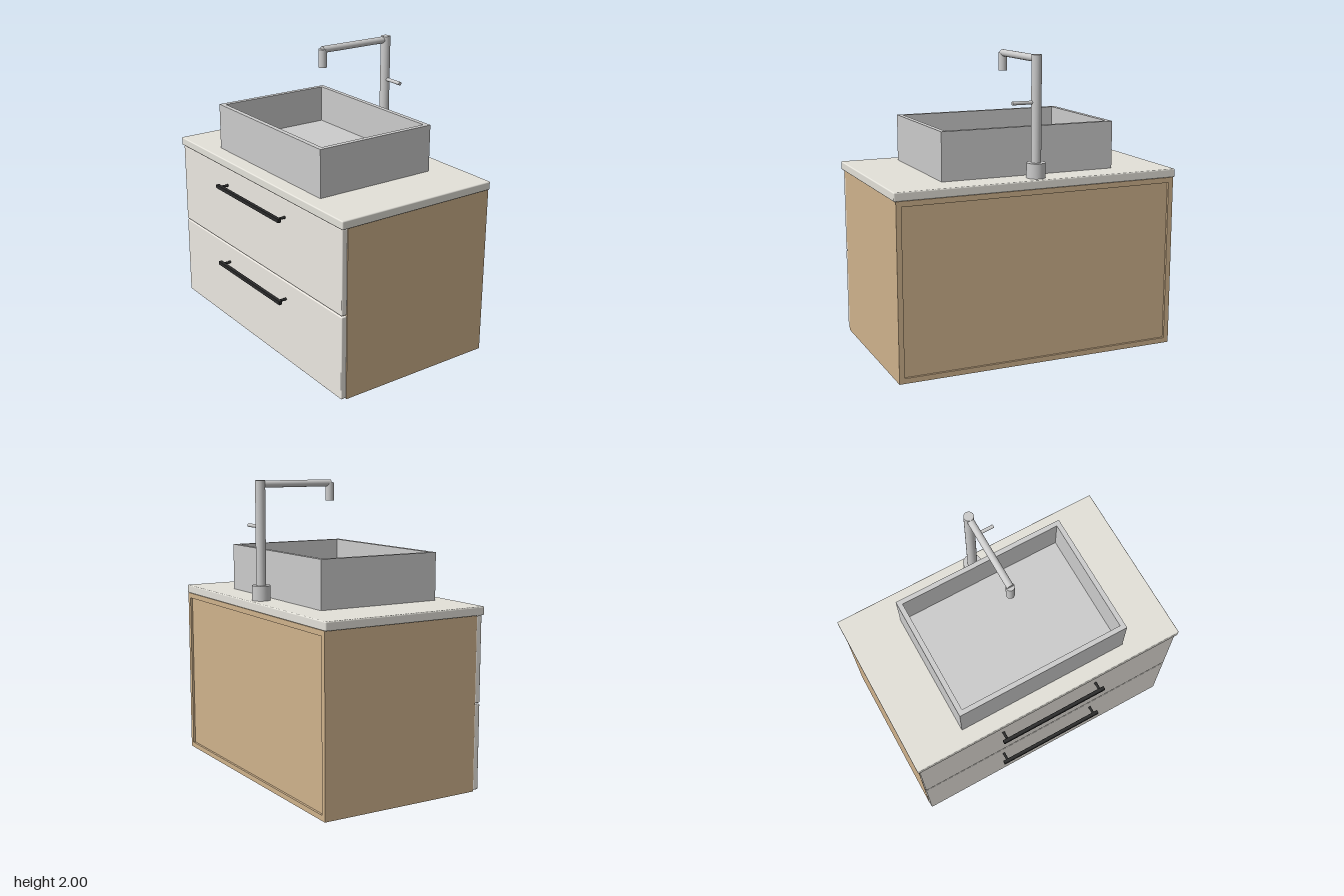
import * as THREE from 'three';
import { RoundedBoxGeometry } from 'three/addons/geometries/RoundedBoxGeometry.js';

const mat = (color) => new THREE.MeshStandardMaterial({ color });

export function createModel() {
  const model = new THREE.Group();
  const wood = mat(0xcfb28c), drawerPaint = mat(0xebe7e0), stone = mat(0xe3e1d9);
  const black = mat(0x2c2c2c), grey = mat(0xcccccc);

  const add = (name, geometry, material, x, y, z, parent = model) => {
    const mesh = new THREE.Mesh(geometry, material);
    mesh.name = name;
    mesh.position.set(x, y, z);
    parent.add(mesh);
    return mesh;
  };
  // Box given by its minimum and maximum corners, with optional rounded edges
  const box = (name, material, [x0, y0, z0], [x1, y1, z1], radius = 0, parent = model) => {
    const size = [x1 - x0, y1 - y0, z1 - z0];
    const geometry = radius ? new RoundedBoxGeometry(...size, 3, radius) : new THREE.BoxGeometry(...size);
    return add(name, geometry, material, (x0 + x1) / 2, (y0 + y1) / 2, (z0 + z1) / 2, parent);
  };
  // Cylinder between two points
  const rod = (name, material, from, to, radius, parent = model) => {
    const a = new THREE.Vector3(...from), b = new THREE.Vector3(...to);
    const dir = b.clone().sub(a);
    const mid = a.clone().add(b).multiplyScalar(0.5);
    const mesh = add(name, new THREE.CylinderGeometry(radius, radius, dir.length(), 32), material, mid.x, mid.y, mid.z, parent);
    mesh.quaternion.setFromUnitVectors(new THREE.Vector3(0, 1, 0), dir.normalize());
    return mesh;
  };

  // Cabinet carcass with a slightly recessed back panel
  const cabinet = new THREE.Group();
  cabinet.name = 'cabinet';
  model.add(cabinet);
  const W = 0.972, H = 1.16, T = 0.035, back = -0.62, front = 0.505;
  for (const s of [-1, 1]) {
    const inner = s * (W - T), outer = s * W;
    box(s > 0 ? 'leftPanel' : 'rightPanel', wood,
      [Math.min(inner, outer), 0, back], [Math.max(inner, outer), H, front], 0, cabinet);
  }
  box('bottomPanel', wood, [-W + T, 0, back], [W - T, T, front], 0, cabinet);
  box('topPanel', wood, [-W + T, H - T, back], [W - T, H, front], 0, cabinet);
  box('backPanel', wood, [-W + T, T, back + 0.015], [W - T, H - T, back + 0.035], 0, cabinet);
  box('middleRail', wood, [-W + T, 0.56, front - 0.03], [W - T, 0.62, front], 0, cabinet);

  // Two drawers, each with a bar handle on two posts
  [[0.008, 0.58], [0.588, 1.155]].forEach(([y0, y1], i) => {
    const drawer = new THREE.Group();
    drawer.name = i ? 'upperDrawer' : 'lowerDrawer';
    model.add(drawer);
    box('drawerFront', drawerPaint, [-0.97, y0, front], [0.97, y1, 0.545], 0.006, drawer);
    const y = y1 - 0.122;
    box('handleBar', black, [-0.388, y - 0.013, 0.595], [0.388, y + 0.013, 0.62], 0.003, drawer);
    for (const s of [-1, 1]) rod('handlePost', black, [s * 0.355, y, 0.54], [s * 0.355, y, 0.6], 0.009, drawer);
  });

  // Countertop
  box('countertop', stone, [-0.985, H, -0.622], [0.985, 1.217, 0.555], 0.008);

  // Vessel basin: rectangular wall ring and floor
  const basin = new THREE.Group();
  basin.name = 'basin';
  model.add(basin);
  const rectangle = (Path, w, d) => new Path([
    [-w, -d], [w, -d], [w, d], [-w, d],
  ].map(([x, y]) => new THREE.Vector2(x, y)));
  const bw = 0.606, bd = 0.437, wall = 0.033, bz = 0.01, base = 1.215;
  const ring = rectangle(THREE.Shape, bw, bd);
  ring.holes.push(rectangle(THREE.Path, bw - wall, bd - wall));
  const ringGeometry = new THREE.ExtrudeGeometry(ring, { depth: 0.32, bevelEnabled: false });
  ringGeometry.rotateX(-Math.PI / 2);
  add('basinWalls', ringGeometry, grey, 0, base, bz, basin);
  box('basinFloor', grey, [-bw + wall, base, bz - bd + wall], [bw - wall, 1.28, bz + bd - wall], 0, basin);

  // Tap: base, column, arm, downward spout and side lever
  const tap = new THREE.Group();
  tap.name = 'tap';
  model.add(tap);
  const tz = -0.525;
  rod('tapBase', grey, [0, base, tz], [0, 1.315, tz], 0.062, tap);
  rod('tapColumn', grey, [0, base, tz], [0, 2, tz], 0.033, tap);
  rod('tapArm', grey, [0, 1.975, tz], [0, 1.975, 0.005], 0.023, tap);
  rod('tapSpout', grey, [0, 1.857, 0.002], [0, 1.978, 0.002], 0.028, tap);
  rod('tapLever', grey, [0, 1.7, tz], [0.167, 1.7, tz], 0.012, tap);

  return model;
}
